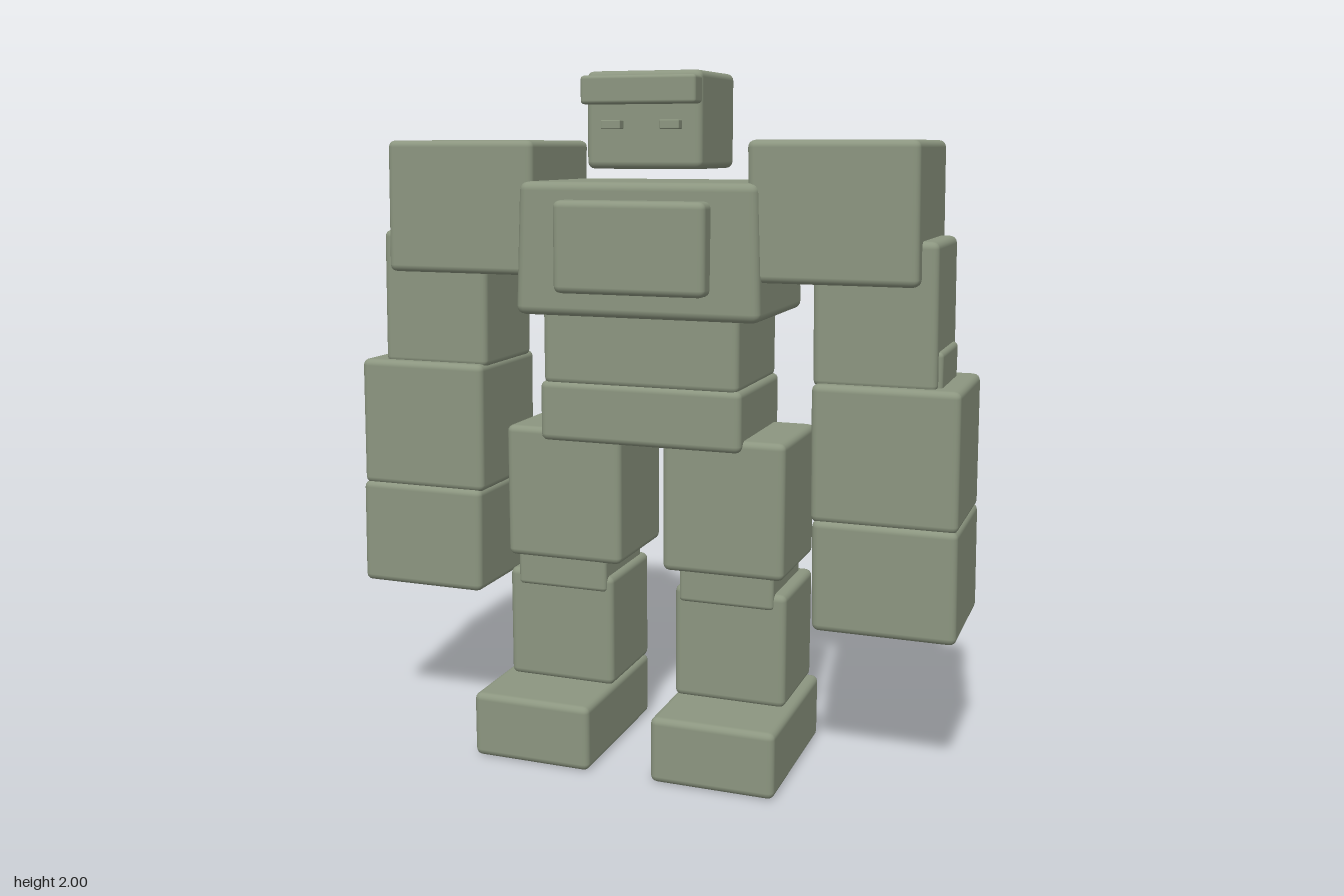
import * as THREE from 'three';
import { RoundedBoxGeometry } from 'three/addons/geometries/RoundedBoxGeometry.js';

const stone = new THREE.MeshStandardMaterial({ color: 0x8c9680 });
stone.name = 'sage stone';

// Rounded block given by its extents; taper narrows the top slightly, lean shifts it sideways
function block(name, [x0, x1], [y0, y1], [z0, z1], { radius = 0.02, taper = 1, lean = 0 } = {}) {
  const w = x1 - x0, h = y1 - y0, d = z1 - z0;
  const geometry = new RoundedBoxGeometry(w, h, d, 2, Math.min(radius, w / 3, h / 3, d / 3));
  const p = geometry.attributes.position;
  for (let i = 0; i < p.count; i++) {
    const t = p.getY(i) / h + 0.5;
    const s = 1 + (taper - 1) * t;
    p.setX(i, p.getX(i) * s + lean * t);
    p.setZ(i, p.getZ(i) * s);
  }
  const mesh = new THREE.Mesh(geometry, stone);
  mesh.name = name;
  mesh.position.set((x0 + x1) / 2, (y0 + y1) / 2, (z0 + z1) / 2);
  return mesh;
}

// The same block on the left (+x) or right (-x) side
function sideBlock(side, name, x, y, z, options = {}) {
  const xs = side > 0 ? x : [-x[1], -x[0]];
  return block(name, xs, y, z, { ...options, lean: (options.lean || 0) * side });
}

function group(name, ...parts) {
  const g = new THREE.Group();
  g.name = name;
  g.add(...parts);
  return g;
}

export function createModel() {
  const model = group('blockGolem',
    // Floating head with a heavy brow
    group('head',
      block('skull', [-0.172, 0.172], [1.73, 2.0], [-0.217, 0.093]),
      block('brow', [-0.17, 0.17], [1.908, 1.986], [0.03, 0.14], { radius: 0.01 }),
      block('rightEye', [-0.116, -0.058], [1.84, 1.865], [0.085, 0.12], { radius: 0.003 }),
      block('leftEye', [0.058, 0.116], [1.84, 1.865], [0.085, 0.12], { radius: 0.003 })),
    // Torso
    group('torso',
      block('chest', [-0.367, 0.367], [1.315, 1.695], [-0.298, 0.173], { taper: 0.965, radius: 0.025 }),
      block('chestPlate', [-0.225, 0.225], [1.385, 1.645], [0.1, 0.225]),
      block('waist', [-0.297, 0.297], [1.11, 1.335], [-0.26, 0.135]),
      block('pelvis', [-0.307, 0.307], [0.942, 1.12], [-0.265, 0.14])));

  for (const side of [1, -1]) {
    const label = side > 0 ? 'left' : 'right';
    // Arm, with the elbow just showing past the upper arm
    model.add(group(label + 'Arm',
      sideBlock(side, 'shoulder', [0.325, 0.793], [1.425, 1.81], [-0.275, 0.148], { lean: -0.007 }),
      sideBlock(side, 'upperArm', [0.5, 0.842], [1.14, 1.545], [-0.222, 0.1], { lean: -0.007 }),
      sideBlock(side, 'elbow', [0.56, 0.853], [1.04, 1.25], [-0.185, 0.075], { radius: 0.015 }),
      sideBlock(side, 'forearm', [0.507, 0.916], [0.762, 1.152], [-0.25, 0.127], { lean: -0.005 }),
      sideBlock(side, 'fist', [0.518, 0.923], [0.45, 0.77], [-0.255, 0.133], { lean: -0.006 })));
    // Leg, with the knee set between thigh and shin
    model.add(group(label + 'Leg',
      sideBlock(side, 'thigh', [0.065, 0.43], [0.575, 0.975], [-0.235, 0.115]),
      sideBlock(side, 'knee', [0.115, 0.4], [0.485, 0.65], [-0.19, 0.105], { radius: 0.012 }),
      sideBlock(side, 'shin', [0.098, 0.435], [0.19, 0.53], [-0.217, 0.096]),
      sideBlock(side, 'foot', [0.095, 0.462], [0, 0.195], [-0.212, 0.3])));
  }
  return model;
}
